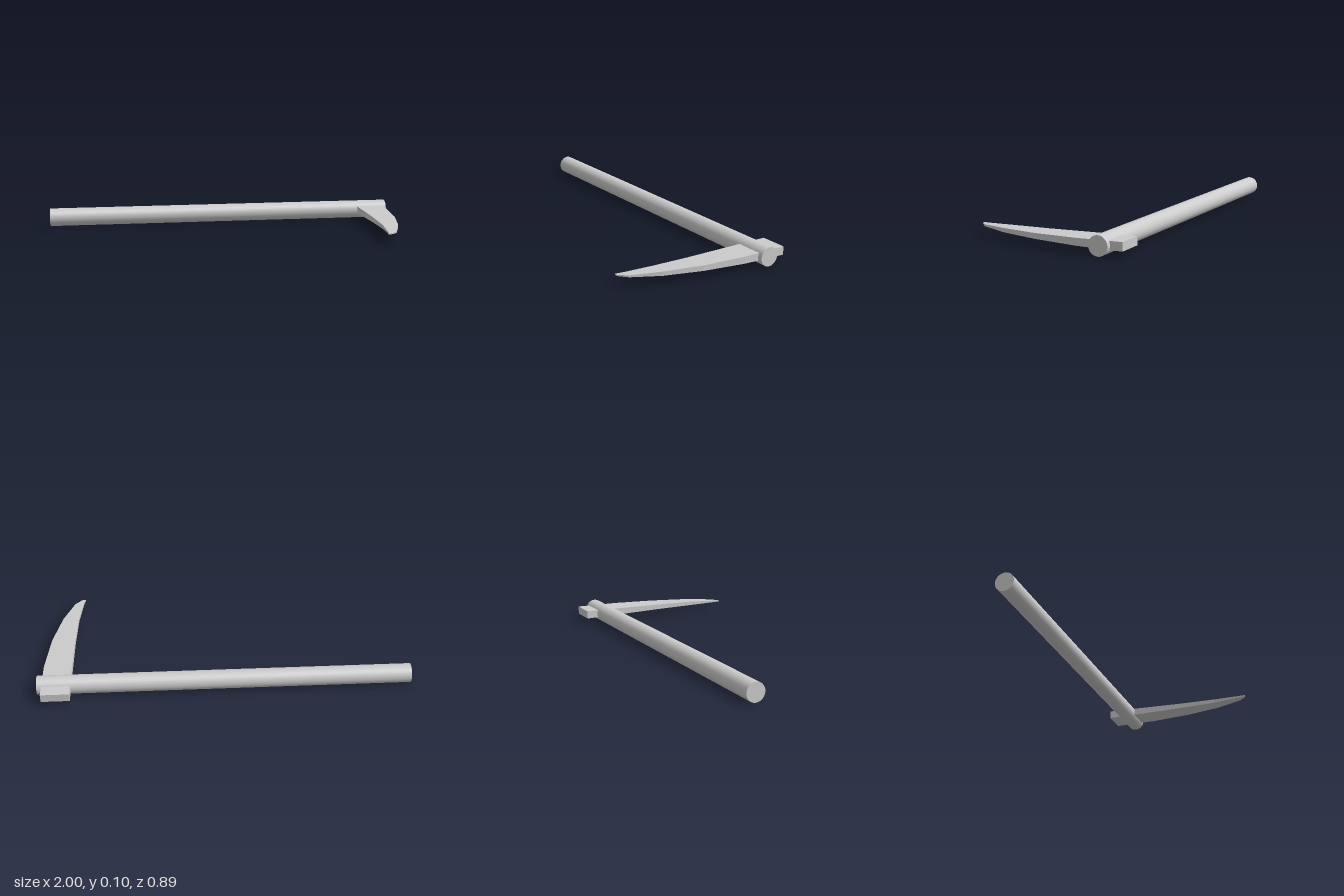
import * as THREE from 'three';

const SHAFT_R = 0.051, SHAFT_Z = -0.332;

// Loft of rectangular sections [z, inner x, outer x, half thickness] along z
function loftBlade(sections, y) {
  const rings = sections.map(([z, a, b, h]) => [
    [a, y - h, z], [b, y - h, z], [b, y + h, z], [a, y + h, z],
  ]);
  const pos = [];
  const quad = (a, b, c, d) => pos.push(...a, ...b, ...c, ...a, ...c, ...d);
  for (let i = 0; i < rings.length - 1; i++) {
    const p = rings[i], q = rings[i + 1];
    for (let k = 0; k < 4; k++) {
      const n = (k + 1) % 4;
      quad(p[k], p[n], q[n], q[k]);
    }
  }
  const first = rings[0], last = rings[rings.length - 1];
  quad(first[3], first[2], first[1], first[0]);
  quad(last[0], last[1], last[2], last[3]);
  const geo = new THREE.BufferGeometry();
  geo.setAttribute('position', new THREE.Float32BufferAttribute(pos, 3));
  geo.computeVertexNormals();
  return geo;
}

export function createModel() {
  const model = new THREE.Group();
  model.name = 'pick';
  const material = new THREE.MeshStandardMaterial({ color: 0xcccccc, flatShading: true });

  // Long round handle lying along x
  const handleGeo = new THREE.CylinderGeometry(SHAFT_R, SHAFT_R, 2, 32);
  handleGeo.rotateZ(Math.PI / 2);
  const handle = new THREE.Mesh(handleGeo, new THREE.MeshStandardMaterial({ color: 0xcccccc }));
  handle.name = 'handle';
  handle.position.set(0, SHAFT_R, SHAFT_Z);
  model.add(handle);

  // Curved, tapering blade whose square butt passes through the handle
  const blade = new THREE.Mesh(loftBlade([
    [-0.447, 0.822, 0.974, 0.0225],
    [-0.20, 0.822, 0.974, 0.019],
    [0.04, 0.820, 0.949, 0.0145],
    [0.25, 0.812, 0.901, 0.011],
    [0.405, 0.793, 0.842, 0.005],
    [0.447, 0.784, 0.802, 0.003],
  ], 0.053), material);
  blade.name = 'blade';
  model.add(blade);

  return model;
}
